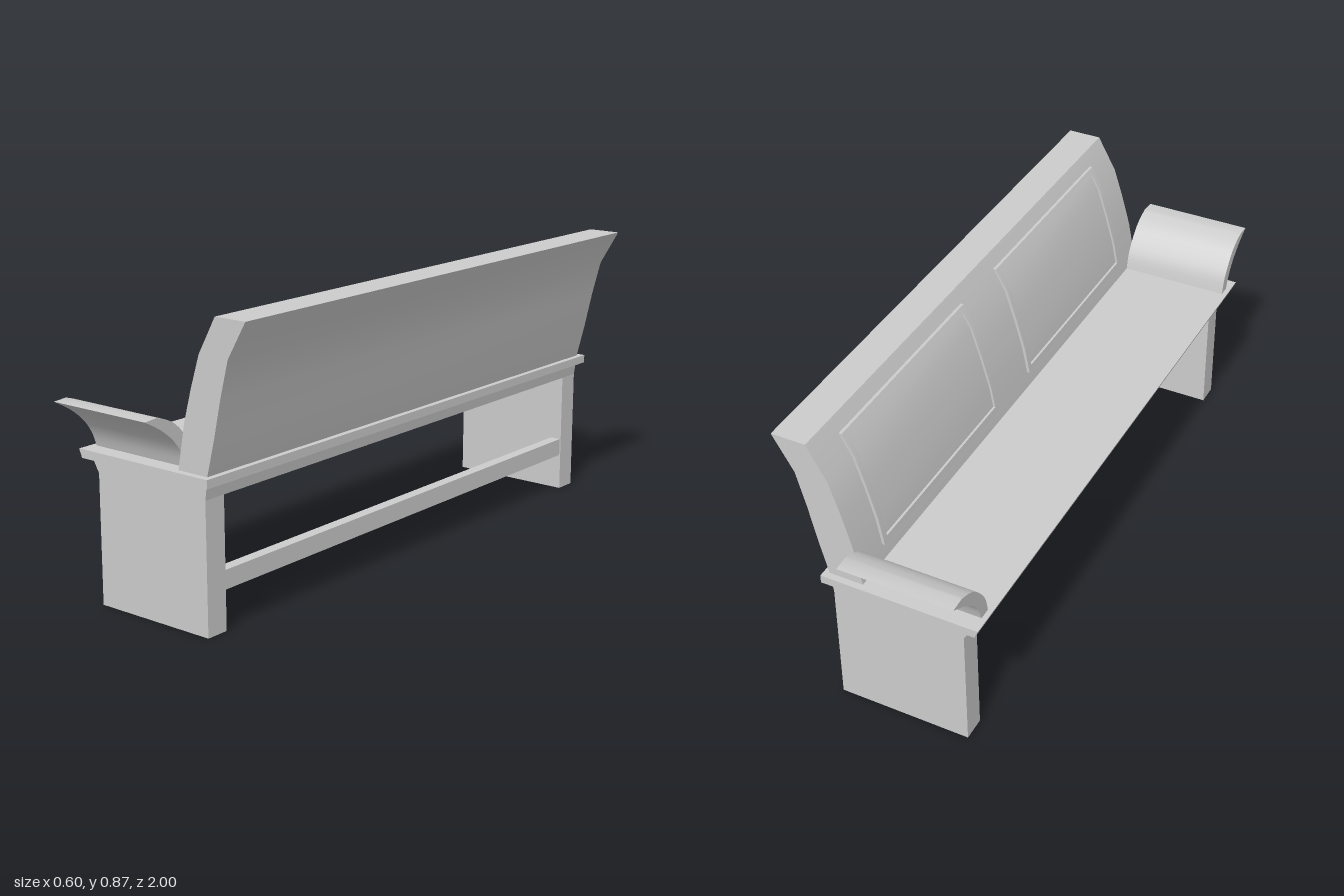
import * as THREE from 'three';
import { toCreasedNormals } from 'three/addons/utils/BufferGeometryUtils.js';

const material = new THREE.MeshStandardMaterial({ color: 0xcccccc });

// Front curve of the backrest as [x, y], bottom to top
const FRONT = [[0.055, 0.445], [0.08, 0.575], [0.107, 0.67], [0.138, 0.765], [0.197, 0.87]];
const BACK = [[0.30, 0.87], [0.238, 0.765], [0.21, 0.66], [0.185, 0.55], [0.158, 0.445]];

function frontX(y) {
  for (let i = 1; i < FRONT.length; i++) {
    const [x0, y0] = FRONT[i - 1], [x1, y1] = FRONT[i];
    if (y <= y1) return x0 + (x1 - x0) * (y - y0) / (y1 - y0);
  }
  return FRONT[FRONT.length - 1][0];
}

// Extrude a closed xy profile from z0 to z1
function extrude(points, z0, z1) {
  const shape = new THREE.Shape(points.map(([x, y]) => new THREE.Vector2(x, y)));
  const geometry = new THREE.ExtrudeGeometry(shape, { depth: z1 - z0, bevelEnabled: false, curveSegments: 1 });
  return geometry.translate(0, 0, z0);
}

function addPart(group, name, geometry) {
  const mesh = new THREE.Mesh(toCreasedNormals(geometry, 0.6), material);
  mesh.name = name;
  group.add(mesh);
  return mesh;
}

// Strip that follows the backrest front between two heights, standing proud of it
function strip(y0, y1, proud) {
  const ys = [y0, ...FRONT.map((p) => p[1]).filter((y) => y > y0 && y < y1), y1];
  const outer = ys.map((y) => [frontX(y) - proud, y]);
  const inner = ys.map((y) => [frontX(y) + 0.01, y]).reverse();
  return [...outer, ...inner];
}

function createPanel(side) {
  const panel = new THREE.Group();
  panel.name = side > 0 ? 'leftBackPanel' : 'rightBackPanel';
  const za = side > 0 ? 0.10 : -0.765, zb = za + 0.665;
  const y0 = 0.49, y1 = 0.83, w = 0.018;
  addPart(panel, 'panelField', extrude(strip(y0 + w, y1 - w, 0.002), za + w, zb - w));
  addPart(panel, 'panelStile', extrude(strip(y0, y1, 0.009), za, za + w));
  addPart(panel, 'panelStile', extrude(strip(y0, y1, 0.009), zb - w, zb));
  addPart(panel, 'panelBottomRail', extrude(strip(y0, y0 + w, 0.009), za + w, zb - w));
  addPart(panel, 'panelTopRail', extrude(strip(y1 - w, y1, 0.009), za + w, zb - w));
  return panel;
}

// Out-curling armrest: profile in the zy plane, extruded along x
function armGeometry(side) {
  const inner = new THREE.SplineCurve([[0.82, 0.445], [0.835, 0.5], [0.877, 0.557], [0.915, 0.585], [0.957, 0.6]]
    .map(([z, y]) => new THREE.Vector2(z, y))).getPoints(12);
  const outer = new THREE.SplineCurve([[1.0, 0.597], [0.945, 0.565], [0.9, 0.527], [0.87, 0.485], [0.855, 0.445]]
    .map(([z, y]) => new THREE.Vector2(z, y))).getPoints(12);
  const profile = [...inner, ...outer].map((p) => [side * p.x, p.y]);
  return extrude(profile, 0, 0.34).rotateY(-Math.PI / 2).translate(0.055, 0, 0);
}

export function createModel() {
  const bench = new THREE.Group();
  bench.name = 'bench';

  // Seat board with a slanted front edge
  addPart(bench, 'seat', extrude([[-0.29, 0.42], [0.175, 0.42], [0.175, 0.445], [-0.30, 0.445]], -0.905, 0.905));

  // Flared support under the seat
  addPart(bench, 'seatSupport',
    extrude([[-0.247, 0.38], [0.149, 0.38], [0.155, 0.42], [-0.27, 0.42]], -0.885, 0.885));

  // Slab legs and armrests
  const legProfile = [[-0.25, 0], [0.148, 0], [0.149, 0.38], [-0.247, 0.38]];
  for (const side of [1, -1]) {
    const z = side > 0 ? 0.815 : -0.885;
    addPart(bench, side > 0 ? 'leftLeg' : 'rightLeg', extrude(legProfile, z, z + 0.07));
    addPart(bench, side > 0 ? 'leftArmrest' : 'rightArmrest', armGeometry(side));
  }

  // Stretcher between the legs at the back
  const stretcher = new THREE.BoxGeometry(0.035, 0.055, 1.64).translate(0.127, 0.142, 0);
  addPart(bench, 'stretcher', stretcher);

  // Curved backrest with two framed panels
  addPart(bench, 'backrest', extrude([...FRONT, ...BACK], -0.885, 0.885));
  bench.add(createPanel(1), createPanel(-1));

  return bench;
}
